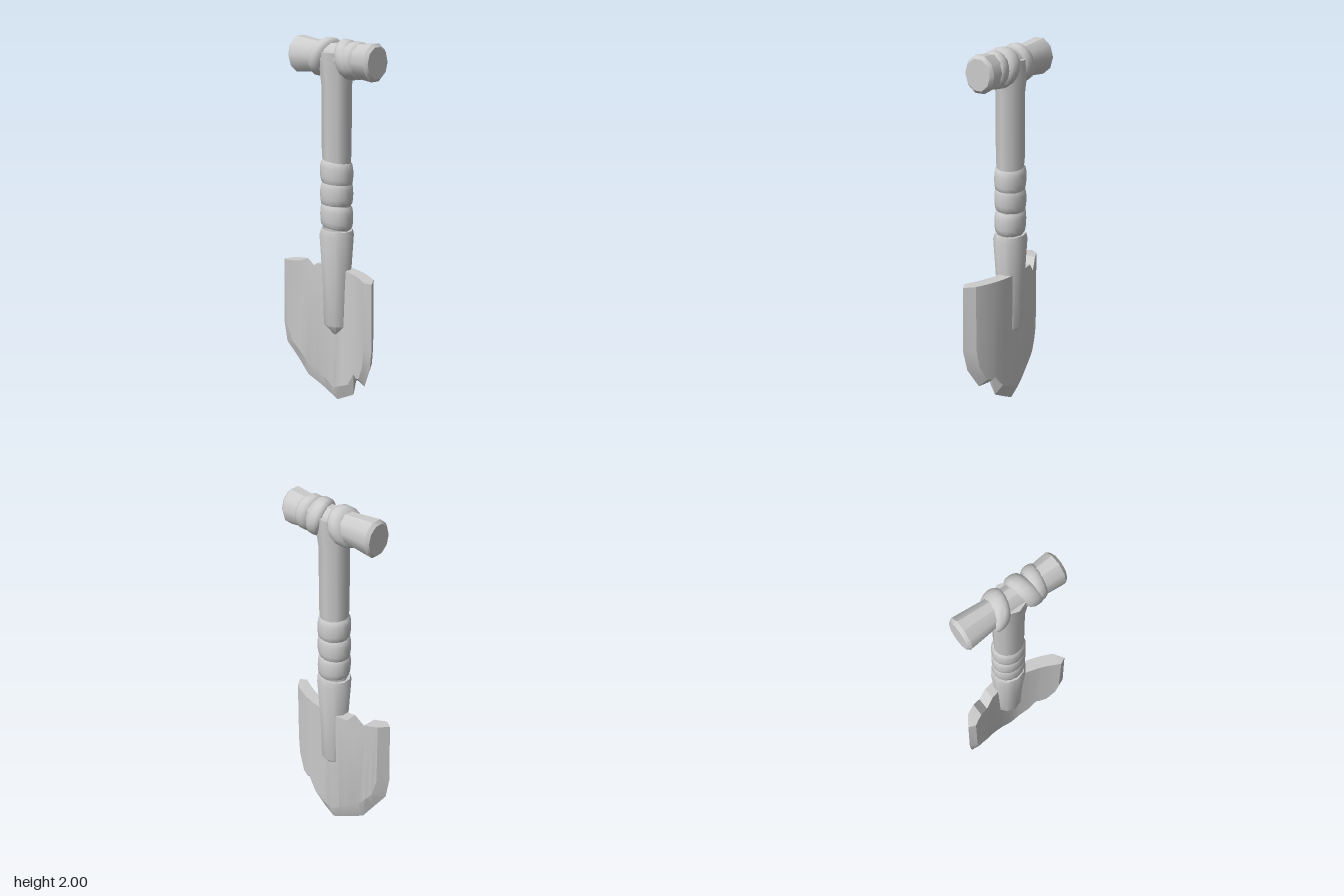
import * as THREE from 'three';
import { toCreasedNormals } from 'three/addons/utils/BufferGeometryUtils.js';

const material = new THREE.MeshStandardMaterial({ color: 0xcccccc });
const lerp = THREE.MathUtils.lerp;

function addMesh(parent, name, geometry, crease = 0.6) {
  const mesh = new THREE.Mesh(toCreasedNormals(geometry, crease), material);
  mesh.name = name;
  parent.add(mesh);
  return mesh;
}

// Turned part from [radius, height] pairs, slightly flattened front to back
function turned(profile, sides, flatten = 0.87) {
  const g = new THREE.LatheGeometry(profile.map(([r, h]) => new THREE.Vector2(r, h)), sides);
  return g.scale(1, 1, flatten);
}

// Rounded band around the y axis, sheared by tiltX and tiltZ
function band(inner, outer, halfWidth, tiltX, tiltZ, flatten) {
  const profile = [[-1, 0], [-0.85, 0.55], [-0.45, 0.93], [0, 1], [0.45, 0.93], [0.85, 0.55], [1, 0]]
    .map(([u, k]) => [lerp(inner, outer, k), u * halfWidth]);
  const g = turned(profile, 16, flatten);
  const p = g.attributes.position;
  for (let i = 0; i < p.count; i++) {
    p.setY(i, p.getY(i) + (p.getX(i) * tiltX + p.getZ(i) * tiltZ) / outer);
  }
  return g;
}

// Dished blade with a bevelled rim, a nick in the top and a nick in the lower edge
function bladeGeometry() {
  // Lower rim from right to left: face x, face y, edge x, edge y
  const rim = [
    [-0.295, 0.4, -0.338, 0.4], [-0.27, 0.3, -0.322, 0.28], [-0.2, 0.21, -0.2, 0.1],
    [0, 0.08, 0, 0], [0.12, 0.135, 0.14, 0.075], [0.175, 0.215, 0.172, 0.212],
    [0.195, 0.2, 0.19, 0.17], [0.235, 0.21, 0.25, 0.165], [0.28, 0.3, 0.315, 0.28],
    [0.295, 0.4, 0.338, 0.4]];
  const top = [[-0.295, 0.77], [-0.235, 0.77], [-0.18, 0.715], [-0.13, 0.77], [0.295, 0.77]];
  const sample = (list, x) => {
    const i = Math.max(1, list.findIndex((e) => e[0] >= x - 1e-6));
    const a = list[i - 1], b = list[i];
    return a.map((v, k) => lerp(v, b[k], (x - a[0]) / (b[0] - a[0])));
  };
  const xs = [...new Set([...rim, ...top].map((e) => e[0]).concat([-0.07, 0.06]))].sort((a, b) => a - b);

  const middle = (x, y) => -0.01 + 0.085 * (x / 0.34) ** 2
    - 0.02 * THREE.MathUtils.clamp((y - 0.08) / 0.3, 0, 1) * Math.max(0, 1 - (x / 0.3) ** 2);
  const at = (x, y, side) => [x, y, middle(x, y) + side * (0.03 + 0.008 * Math.abs(x) / 0.3)];
  const positions = [];
  const tri = (a, b, c) => positions.push(...a, ...b, ...c);
  const quad = (a, b, c, d) => { tri(a, b, c); tri(a, c, d); };

  // Front, back and top faces in columns
  const cols = xs.map((x) => ({ low: sample(rim, x), x, y: sample(top, x)[1] }));
  for (let i = 1; i < cols.length; i++) {
    const a = cols[i - 1], b = cols[i];
    const [fa, fb, ga, gb] = [at(a.x, a.low[1], 1), at(b.x, b.low[1], 1), at(a.x, a.y, 1), at(b.x, b.y, 1)];
    const [ba, bb, ca, cb] = [at(a.x, a.low[1], -1), at(b.x, b.low[1], -1), at(a.x, a.y, -1), at(b.x, b.y, -1)];
    quad(fa, fb, gb, ga);
    quad(bb, ba, ca, cb);
    quad(ga, gb, cb, ca);
  }

  // Bevels along the rim, from one top corner round to the other
  const loop = [[-0.295, 0.77, -0.333, 0.765], ...cols.map((c) => c.low), [0.295, 0.77, 0.333, 0.765]];
  const edge = (e) => [e[2], e[3], middle(e[2], e[3])];
  for (let i = 1; i < loop.length; i++) {
    const a = loop[i - 1], b = loop[i];
    quad(edge(a), edge(b), at(b[0], b[1], 1), at(a[0], a[1], 1));
    quad(edge(b), edge(a), at(a[0], a[1], -1), at(b[0], b[1], -1));
  }
  const l = loop[0], r = loop[loop.length - 1];
  tri(edge(l), at(l[0], l[1], 1), at(l[0], l[1], -1));
  tri(edge(r), at(r[0], r[1], -1), at(r[0], r[1], 1));

  const g = new THREE.BufferGeometry();
  g.setAttribute('position', new THREE.Float32BufferAttribute(positions, 3));
  return g;
}

export function createModel() {
  const model = new THREE.Group();
  model.name = 'shovel';

  addMesh(model, 'blade', bladeGeometry(), 0.4);

  // Everything round sits a touch behind the centre plane
  const haft = new THREE.Group();
  haft.name = 'haft';
  haft.position.z = -0.005;
  model.add(haft);

  addMesh(haft, 'socket', turned([[0, 0.37], [0.076, 0.45], [0.083, 0.7], [0.101, 0.955],
    [0.093, 0.985], [0, 0.985]], 10), 0.8);

  addMesh(haft, 'shaft', turned([[0.08, 0.95], [0.08, 1.36], [0.084, 1.4], [0.084, 1.75],
    [0.096, 1.85], [0.098, 1.93], [0, 1.93]], 8), 0.9);

  // Grip wrapping on the shaft
  [1.06, 1.18, 1.295].forEach((y, i) => {
    addMesh(haft, 'gripWrap', band(0.081, 0.094, 0.063, i === 1 ? 0.006 : -0.008, 0.006, 0.87), 1).position.y = y;
  });

  // Cross handle
  const cross = new THREE.Group();
  cross.name = 'crossHandle';
  cross.position.y = 1.897;
  cross.rotation.z = -Math.PI / 2;
  haft.add(cross);

  addMesh(cross, 'handleBar', turned([[0, -0.29], [0.083, -0.29], [0.1, -0.272], [0.083, -0.11],
    [0.08, 0], [0.083, 0.11], [0.1, 0.272], [0.083, 0.29], [0, 0.29]], 10), 0.65);

  // Lashing over the joint: centre, half width, radius, tilts
  [[-0.078, 0.04, 0.104, -0.028, -0.016],
    [0.09, 0.045, 0.104, 0.022, 0.02],
    [0.15, 0.037, 0.098, 0.004, -0.014]].forEach(([c, w, r, tx, tz]) => {
    addMesh(cross, 'lashing', band(0.078, r, w, tx, tz, 0.9), 0.9).position.y = c;
  });

  return model;
}
